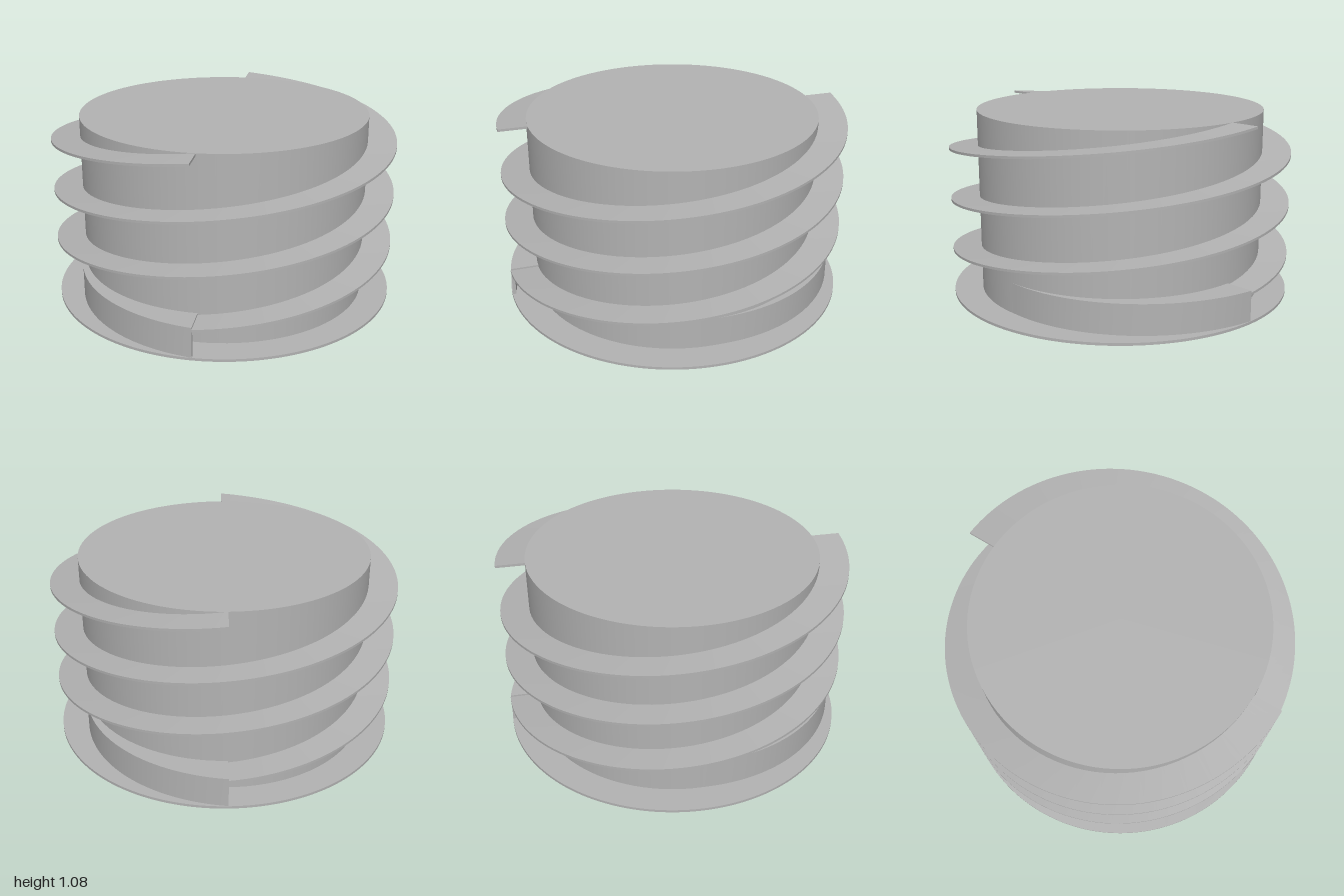
import * as THREE from 'three';

const CORE = 0.835, TOP = 1.08, PLATE = 0.015, DEPTH = 0.175;
const DEG = Math.PI / 180;
const START = -26 * DEG;                 // angle where a flight begins (0 = front, 90 = +x)
const RAMP_START = 85 * DEG;
const metal = new THREE.MeshStandardMaterial({ color: 0xb3b3b3, side: THREE.DoubleSide });
metal.name = 'grey metal';

const polar = (phi, r, y) => [r * Math.sin(phi), y, r * Math.cos(phi)];

// Grid surface from f(u, v) -> [x, y, z]
function surface(f, nu, nv) {
  const pos = [], idx = [];
  for (let i = 0; i <= nu; i++) for (let j = 0; j <= nv; j++) pos.push(...f(i / nu, j / nv));
  for (let i = 0; i < nu; i++) for (let j = 0; j < nv; j++) {
    const a = i * (nv + 1) + j, b = a + nv + 1;
    idx.push(a, b, b + 1, a, b + 1, a + 1);
  }
  const g = new THREE.BufferGeometry();
  g.setAttribute('position', new THREE.Float32BufferAttribute(pos, 3));
  g.setIndex(idx);
  g.computeVertexNormals();
  return g;
}

function add(parent, name, geometry) {
  const mesh = new THREE.Mesh(geometry, metal);
  mesh.name = name;
  parent.add(mesh);
  return mesh;
}

// Sweeps a four-cornered [r, y] section around the axis, with sharp edges and end caps
function sweep(parent, name, phi0, phi1, n, section) {
  const group = new THREE.Group();
  group.name = name;
  const at = (t, k) => polar(phi0 + (phi1 - phi0) * t, ...section(t)[k % 4]);
  const mix = (a, b, v) => a.map((c, i) => c + (b[i] - c) * v);
  for (let k = 0; k < 4; k++) {
    add(group, name + 'Side', surface((u, v) => mix(at(u, k), at(u, k + 1), v), n, 1));
  }
  add(group, name + 'Start', surface((u, v) => mix(mix(at(0, 0), at(0, 3), v), mix(at(0, 1), at(0, 2), v), 1 - u), 1, 1));
  add(group, name + 'End', surface((u, v) => mix(mix(at(1, 0), at(1, 3), v), mix(at(1, 1), at(1, 2), v), u), 1, 1));
  parent.add(group);
}

// Curved closing edge of a bottom pocket
const pocketEnd = (r) => START - 45 * DEG * (1 - r / CORE);

// One half of the screw; the other is the same turned by 180 degrees
function buildHalf() {
  const half = new THREE.Group();
  half.name = 'screwStart';

  // Helical flight, one and a half turns
  sweep(half, 'flight', START, START + 3 * Math.PI, 200, (t) => {
    const y = 0.18 + 0.9 * t;
    return [[CORE - 0.01, y - 0.014], [1, y - 0.014], [1, y], [CORE - 0.01, y]];
  });

  // Widening side channel that opens under the start of the flight
  const radius = (t) => CORE + (0.998 - CORE) * Math.pow(t, 1.3);
  const inner = (t) => Math.max(CORE - 0.015, radius(t) - 0.02);
  sweep(half, 'channelWall', START - Math.PI / 2, START, 40, (t) =>
    [[inner(t), PLATE], [radius(t), PLATE], [radius(t), 0.19], [inner(t), 0.19]]);
  sweep(half, 'channelRoof', START - Math.PI / 2, START, 40, (t) =>
    [[CORE - 0.015, 0.178], [inner(t), 0.178], [inner(t), 0.19], [CORE - 0.015, 0.19]]);

  // Pocket under the core: spiral ramp, outer wall and curved end wall
  const rampPhi = (r, t) => RAMP_START + (pocketEnd(r) - RAMP_START) * t;
  const R = CORE - 0.004;
  add(half, 'pocketRamp', surface((u, v) => polar(rampPhi(R * u, v), R * u, DEPTH * v), 16, 40));
  add(half, 'pocketOuterWall', surface((u, v) => polar(rampPhi(R, u), R, DEPTH * u * v), 40, 1));
  add(half, 'pocketEndWall', surface((u, v) => {
    const r = R * (1 - u);
    return polar(pocketEnd(r), r, DEPTH * v);
  }, 24, 1));
  return half;
}

// Base disc with the two pocket openings
function baseGeometry() {
  const shape = new THREE.Shape().absarc(0, 0, 1, 0, Math.PI * 2);
  const R = CORE - 0.004;
  for (const turn of [0, Math.PI]) {
    const pts = [];
    const put = (phi, r) => {
      const [x, , z] = polar(phi + turn, r, 0);
      pts.push(new THREE.Vector2(x, -z));
    };
    put(RAMP_START, 0.004);
    for (let i = 0; i <= 40; i++) put(RAMP_START + (pocketEnd(R) - RAMP_START) * i / 40, R);
    for (let i = 1; i < 24; i++) put(pocketEnd(R * (1 - i / 24)), R * (1 - i / 24));
    shape.holes.push(new THREE.Path(pts));
  }
  const g = new THREE.ExtrudeGeometry(shape, { depth: PLATE, bevelEnabled: false, curveSegments: 96 });
  return g.rotateX(-Math.PI / 2);
}

export function createModel() {
  const model = new THREE.Group();
  model.name = 'doubleStartScrew';

  add(model, 'basePlate', baseGeometry());
  add(model, 'coreWall', new THREE.CylinderGeometry(CORE, CORE, TOP - PLATE, 96, 1, true))
    .position.y = (TOP + PLATE) / 2;
  add(model, 'coreTop', new THREE.CircleGeometry(CORE, 96).rotateX(-Math.PI / 2)).position.y = TOP;

  for (const turn of [0, Math.PI]) {
    const half = buildHalf();
    half.rotation.y = turn;
    model.add(half);
  }
  return model;
}
